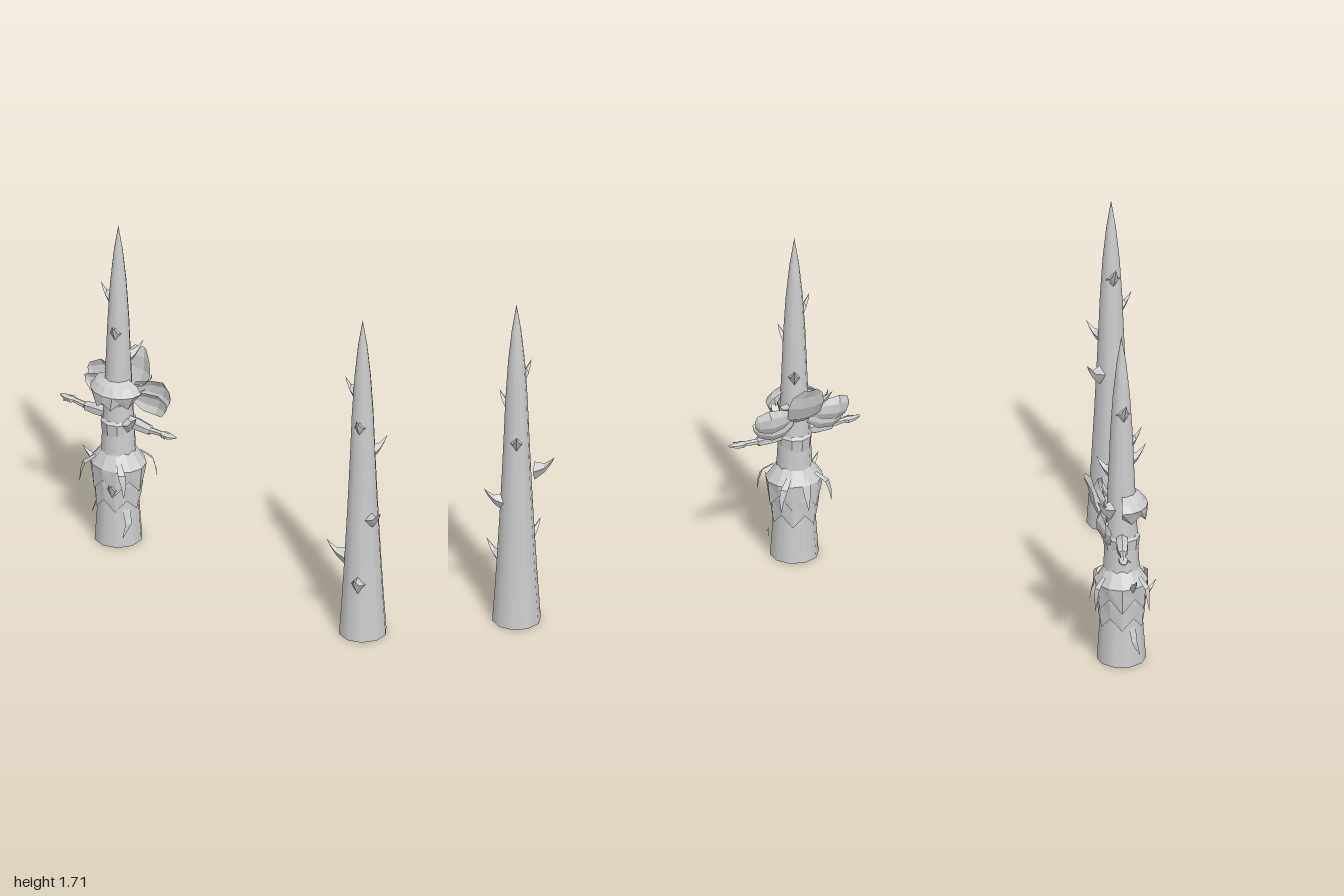
import * as THREE from 'three';

const bark = new THREE.MeshStandardMaterial({ color: 0xcccccc, side: THREE.DoubleSide });
bark.name = 'pale grey';

const V = (x, y, z) => new THREE.Vector3(x, y, z);

// Flat-shaded surface through rows of points (rows of equal length)
function loft(name, rows) {
  const pos = [];
  for (let i = 0; i < rows.length - 1; i++) {
    for (let j = 0; j < rows[i].length - 1; j++) {
      const a = rows[i][j], b = rows[i][j + 1], c = rows[i + 1][j + 1], d = rows[i + 1][j];
      for (const p of [a, b, c, a, c, d]) pos.push(p.x, p.y, p.z);
    }
  }
  const g = new THREE.BufferGeometry();
  g.setAttribute('position', new THREE.Float32BufferAttribute(pos, 3));
  g.computeVertexNormals();
  const m = new THREE.Mesh(g, bark);
  m.name = name;
  return m;
}

// Ring of points about the y axis; zig drops every other point
function ring(y, rx, rz, n, zig = 0, a0 = 0, a1 = Math.PI * 2) {
  return Array.from({ length: n + 1 }, (_, i) => {
    const a = a0 + (a1 - a0) * i / n;
    return V(Math.sin(a) * rx, y - (i % 2 ? zig : 0), Math.cos(a) * rz);
  });
}

// Leaf or petal: stations [x, y, z, halfWidth], spread along "across", cupped along "cup"
function petal(name, stations, across, cup) {
  return loft(name, stations.map(([x, y, z, w]) => [-1, -0.4, 0.4, 1].map(s =>
    V(x, y, z).addScaledVector(across, s * w).addScaledVector(cup, Math.abs(s) > 0.9 ? w : 0))));
}

// Upswept four-sided thorn reaching to its tip
function thorn(tx, ty, tz) {
  const r = Math.hypot(tx, tz), ux = tx / r, uz = tz / r;
  const y0 = ty - 0.085, inner = Math.max(0.03, r - 0.1);
  const rows = [[inner, y0, 0.05, 0.036], [inner + (r - inner) * 0.5, y0 + 0.022, 0.024, 0.018],
    [inner + (r - inner) * 0.8, y0 + 0.055, 0.012, 0.009], [r, ty, 0, 0]];
  return loft('thorn', rows.map(([d, y, h, w]) => [[0, 1], [1, 0.2], [0, -1], [-1, 0.2], [0, 1]].map(([s, k]) =>
    V(ux * d - uz * s * w, y + k * h, uz * d + ux * s * w))));
}

function thornySpike() {
  const g = new THREE.Group();
  g.name = 'thornySpike';
  // Tapering shaft
  const profile = [[0.118, 0], [0.104, 0.2], [0.092, 0.4], [0.081, 0.6], [0.071, 0.8], [0.062, 1.0],
    [0.054, 1.2], [0.041, 1.4], [0.023, 1.57], [0, 1.71]].map(p => new THREE.Vector2(...p));
  const shaft = new THREE.Mesh(new THREE.LatheGeometry(profile, 10), bark);
  shaft.name = 'shaft';
  const base = new THREE.Mesh(new THREE.CircleGeometry(0.118, 10, Math.PI / 2).rotateX(Math.PI / 2), bark);
  base.name = 'shaftBase';
  g.add(shaft, base);
  const tips = [[-0.09, 1.38, 0.02], [0.04, 1.21, 0.1], [0.06, 1.05, -0.12], [-0.145, 0.9, -0.12],
    [0.15, 0.72, 0.05], [-0.165, 0.48, 0.07], [0.075, 0.38, 0.17]];
  for (const t of tips) g.add(thorn(...t));
  return g;
}

function flowerFigure() {
  const g = new THREE.Group();
  g.name = 'flowerFigure';

  // Layered skirt with jagged hems
  g.add(loft('lowerSkirt', [ring(0.43, 0.115, 0.11, 12), ring(0.33, 0.122, 0.118, 12), ring(0.25, 0.112, 0.112, 12, 0.06)]));
  g.add(loft('upperSkirt', [ring(0.51, 0.07, 0.07, 12), ring(0.48, 0.095, 0.09, 12),
    ring(0.42, 0.142, 0.128, 12), ring(0.36, 0.13, 0.122, 12, 0.07)]));

  // Torso, bodice band and head
  g.add(loft('torso', [ring(0.5, 0.075, 0.07, 10), ring(0.6, 0.08, 0.084, 10), ring(0.65, 0.085, 0.09, 10), ring(0.7, 0.05, 0.05, 10)]));
  const head = new THREE.Mesh(new THREE.SphereGeometry(0.078, 10, 7).toNonIndexed(), bark);
  head.geometry.computeVertexNormals();
  head.name = 'head';
  head.position.set(0, 0.79, 0.02);
  head.scale.set(0.9, 1, 0.95);
  g.add(head);

  // Swept fringe across the brow
  g.add(loft('fringe', [[0.885, 0.06, 0.06], [0.86, 0.115, 0.1], [0.825, 0.14, 0.128], [0.785, 0.105, 0.125]]
    .map(([y, rx, rz], i) => ring(y, rx, rz, 8, i === 3 ? 0.035 : 0, -Math.PI / 2, Math.PI / 2))));

  // Tall folded petal behind the head
  g.add(petal('backPetal', [[0, 0.74, -0.06, 0.04], [0, 0.79, -0.12, 0.085], [0, 0.86, -0.15, 0.095],
    [0, 0.92, -0.16, 0.08], [0, 0.965, -0.18, 0.035]], V(1, 0, 0), V(0, 0, 0.25)));

  for (const s of [-1, 1]) {
    // Arm with sleeve, wrist and hand
    const arm = [[0.04, 0.66, 0.028, 0.03], [0.12, 0.655, 0.033, 0.032], [0.19, 0.65, 0.026, 0.026], [0.2, 0.65, 0.016, 0.017],
      [0.265, 0.655, 0.013, 0.014], [0.28, 0.655, 0.016, 0.026], [0.315, 0.655, 0.012, 0.022], [0.35, 0.66, 0.003, 0.008]];
    g.add(loft('arm', arm.map(([x, y, ry, rz]) => Array.from({ length: 7 }, (_, i) =>
      V(s * x, y + Math.cos(i * Math.PI / 3) * ry, Math.sin(i * Math.PI / 3) * rz)))));
    // Thumb
    g.add(petal('thumb', [[s * 0.285, 0.655, 0.015, 0.008], [s * 0.31, 0.655, 0.035, 0.003]], V(0, 1, 0), V(0, 0, 0)));

    // Rounded petals fanning to the side
    g.add(petal('upperPetal', [[s * 0.05, 0.79, -0.08, 0.025], [s * 0.11, 0.8, -0.115, 0.05],
      [s * 0.18, 0.8, -0.125, 0.062], [s * 0.235, 0.79, -0.1, 0.045], [s * 0.25, 0.79, -0.085, 0.015]],
    V(s * 0.15, 1, 0), V(0, 0, 0.3)));
    g.add(petal('lowerPetal', [[s * 0.04, 0.75, -0.07, 0.02], [s * 0.1, 0.74, -0.09, 0.05],
      [s * 0.17, 0.74, -0.1, 0.055], [s * 0.225, 0.745, -0.075, 0.045], [s * 0.25, 0.76, -0.06, 0.015]],
    V(s * 0.2, 1, 0), V(0, 0, 0.35)));
    // Curled lock beside the crown
    g.add(petal('lock', [[s * 0.05, 0.83, -0.06, 0.025], [s * 0.1, 0.84, -0.08, 0.02], [s * 0.13, 0.87, -0.09, 0.012],
      [s * 0.135, 0.9, -0.09, 0.001]], V(s * 0.6, 0.8, 0), V(0, 0, 0.3)));

    // Drooping sepals on the skirt
    for (const z of [-1, 1]) {
      g.add(petal('sepal', [[s * 0.07, 0.46, z * 0.085, 0.012], [s * 0.115, 0.42, z * 0.12, 0.018],
        [s * 0.13, 0.37, z * 0.125, 0.012], [s * 0.135, 0.31, z * 0.13, 0.001]], V(0.8, 0, -s * z * 0.6), V(0, 0, 0)));
    }
    // Small pointed slippers below the hem
    g.add(petal('slipper', [[s * 0.09, 0.2, 0.05, 0.02], [s * 0.11, 0.13, 0.06, 0.015], [s * 0.095, 0.06, 0.085, 0.002]],
      V(0.6, 0, -s * 0.8), V(0, 0, 0)));
  }
  // Long sepal trailing at the back
  g.add(petal('backSepal', [[0, 0.48, -0.08, 0.012], [0, 0.42, -0.13, 0.022], [0, 0.36, -0.145, 0.014], [0, 0.3, -0.155, 0.001]],
    V(1, 0, 0), V(0, 0, 0)));
  return g;
}

export function createModel() {
  const model = new THREE.Group();
  model.name = 'thornSpikes';
  const plain = thornySpike();
  plain.position.x = 0.845;
  const entwined = new THREE.Group();
  entwined.name = 'entwinedSpike';
  entwined.add(thornySpike(), flowerFigure());
  entwined.position.x = -0.645;
  model.add(plain, entwined);
  return model;
}
